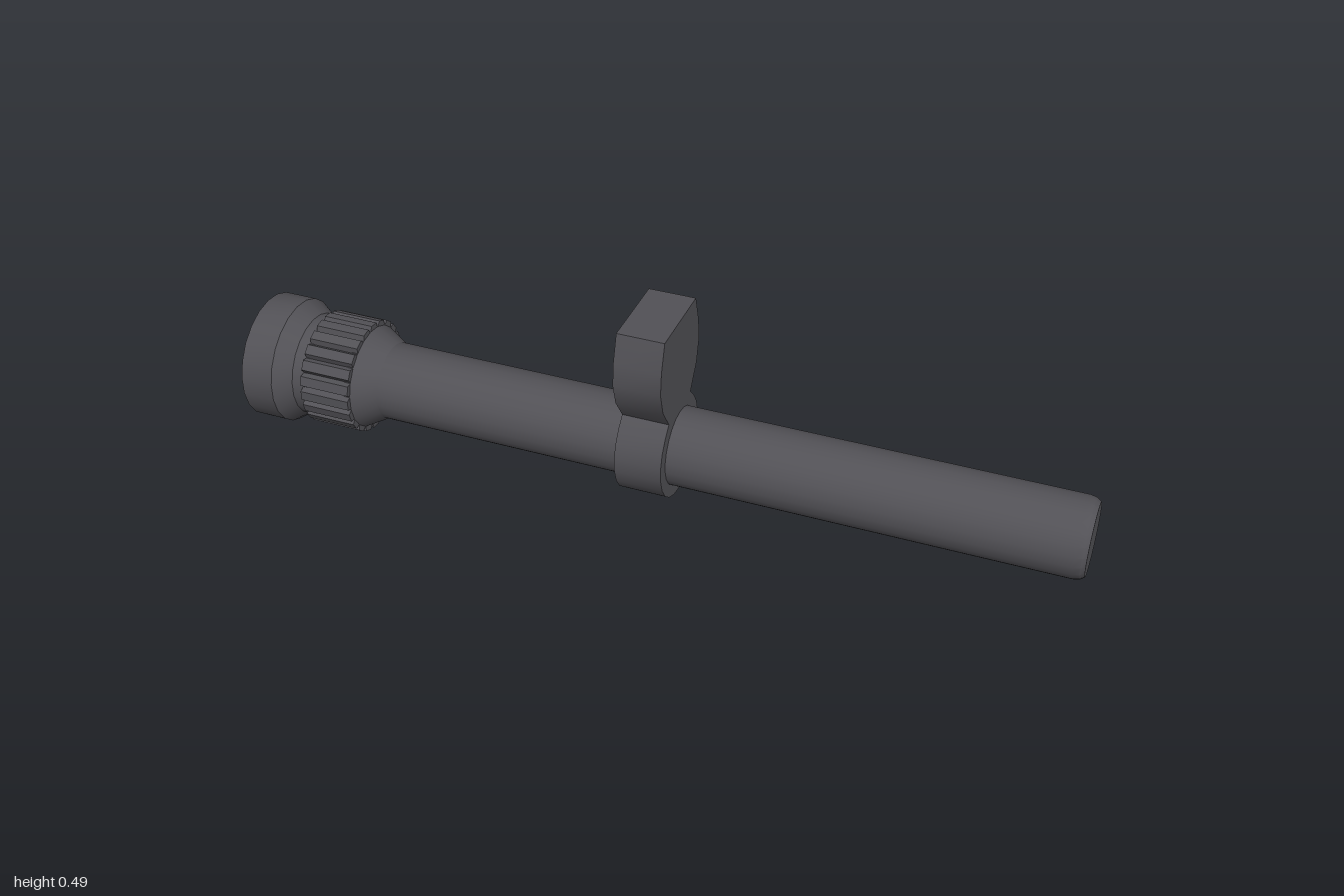
import * as THREE from 'three';
import { toCreasedNormals } from 'three/addons/utils/BufferGeometryUtils.js';

const AXIS_Y = 0.153;
const SIDES = 22;

export function createModel() {
  const group = new THREE.Group();
  const darkGrey = new THREE.MeshStandardMaterial({ color: 0x525156 });
  darkGrey.name = 'dark grey';

  const add = (name, geometry, y = 0) => {
    const mesh = new THREE.Mesh(toCreasedNormals(geometry, 0.5), darkGrey);
    mesh.name = name;
    mesh.position.set(0, y, 0.001);
    group.add(mesh);
  };

  // Turned part along x, from [x, radius] pairs
  const turned = (name, profile) => {
    const points = profile.map(([x, r]) => new THREE.Vector2(r, x));
    const geometry = new THREE.LatheGeometry(points, SIDES, Math.PI / 2);
    add(name, geometry.rotateZ(-Math.PI / 2), AXIS_Y);
  };

  // Outline in the z-y plane, extruded between two x positions
  const extruded = (name, points, x0, x1, y = 0) => {
    const geometry = new THREE.ExtrudeGeometry(new THREE.Shape(points), { depth: x1 - x0, bevelEnabled: false });
    add(name, geometry.rotateY(-Math.PI / 2).translate(x1, 0, 0), y);
  };

  turned('head', [
    [-1, 0], [-1, 0.152], [-0.92, 0.152], [-0.88, 0.124], [-0.84, 0.124], [-0.84, 0],
  ]);
  turned('barrel', [
    [-0.74, 0], [-0.74, 0.125], [-0.725, 0.125], [-0.67, 0.0935],
    [0.975, 0.0935], [0.99, 0.0905], [1, 0.083], [1, 0],
  ]);

  // Grip ring with a V groove between neighbouring teeth
  const grip = [];
  const step = (2 * Math.PI) / SIDES;
  for (let i = 0; i < SIDES; i++) {
    const a = -Math.PI / 2 + i * step;
    for (const [offset, r] of [[0, 0.123], [0.2, 0.137], [0.8, 0.137]]) {
      const t = a + offset * step;
      grip.push(new THREE.Vector2(Math.cos(t) * r, Math.sin(t) * r));
    }
  }
  extruded('gripRing', grip, -0.85, -0.725, AXIS_Y);

  // Clamp around the barrel, joined to the mounting block on top
  const block = [[0.07, 0.258], [0.108, 0.315], [0.123, 0.37], [0.118, 0.425], [0.098, 0.492]];
  const clamp = block.map(([z, y]) => new THREE.Vector2(z, y));
  clamp.push(...block.slice().reverse().map(([z, y]) => new THREE.Vector2(-z, y)));
  const start = Math.atan2(0.258 - AXIS_Y, -0.07);
  const sweep = 3 * Math.PI - 2 * start;
  for (let i = 1; i < 18; i++) {
    const t = start + (sweep * i) / 18;
    clamp.push(new THREE.Vector2(Math.cos(t) * 0.123, AXIS_Y + Math.sin(t) * 0.123));
  }
  extruded('mountClamp', clamp, -0.055, 0.057);

  return group;
}
